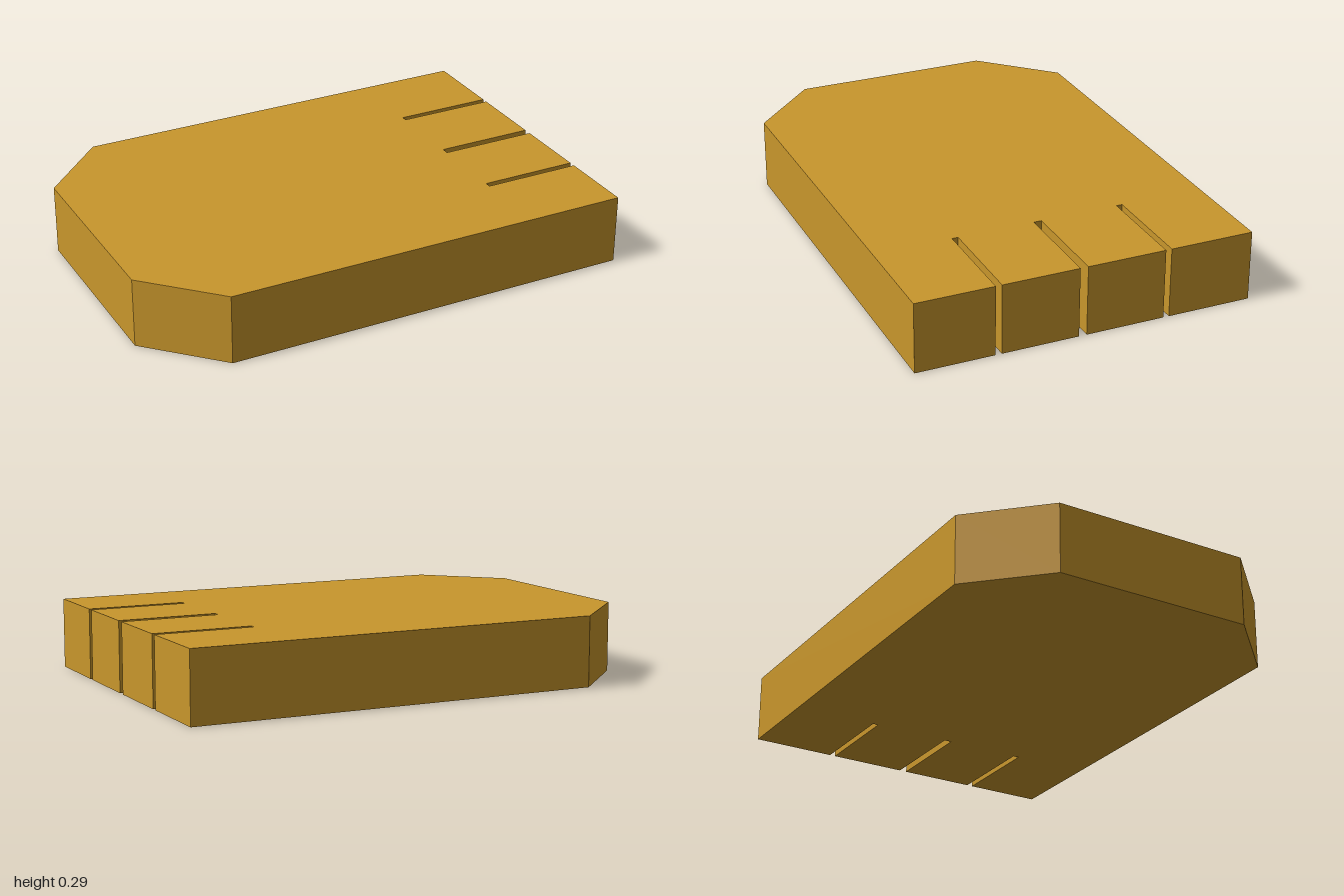
import * as THREE from 'three';

const HEIGHT = 0.29;
const HALF_WIDTH = 0.698;
const SLOT_START = 0.59;
// z range of each slot cut into the +x end
const SLOTS = [[-0.35, -0.326], [0, 0.032], [0.35, 0.375]];

export function createModel() {
  const ochre = new THREE.MeshStandardMaterial({ color: 0xc8962c });
  ochre.name = 'ochre';

  // Plan outline (shape y becomes z): chamfered at -x, slotted at +x
  const outline = [[-0.72, -HALF_WIDTH], [1, -HALF_WIDTH]];
  for (const [z0, z1] of SLOTS) {
    outline.push([1, z0], [SLOT_START, z0], [SLOT_START, z1], [1, z1]);
  }
  outline.push([1, HALF_WIDTH], [-0.72, HALF_WIDTH], [-1, 0.416], [-1, -0.416]);
  const shape = new THREE.Shape(outline.map(([x, z]) => new THREE.Vector2(x, z)));

  // Solid slab, laid flat with its underside on y = 0
  const geometry = new THREE.ExtrudeGeometry(shape, { depth: HEIGHT, bevelEnabled: false });
  geometry.rotateX(Math.PI / 2);
  geometry.translate(0, HEIGHT, 0);

  const slab = new THREE.Mesh(geometry, ochre);
  slab.name = 'slottedSlab';

  const model = new THREE.Group();
  model.name = 'slottedBlock';
  model.add(slab);
  return model;
}
